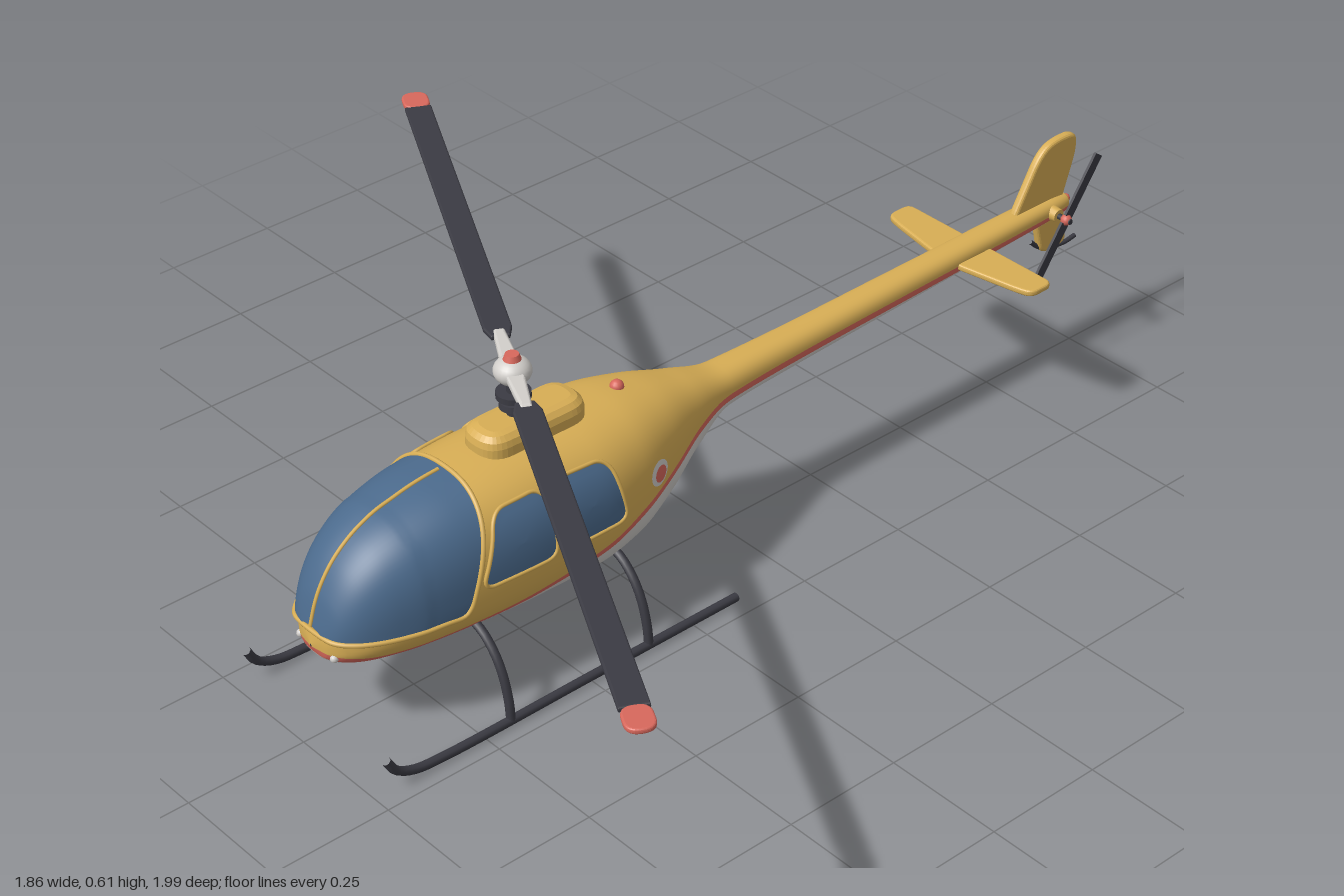
import * as THREE from 'three';

const mat = (name, color) => {
  const m = new THREE.MeshStandardMaterial({ color });
  m.name = name;
  return m;
};
const V = (x, y, z) => new THREE.Vector3(x, y, z);

// Smooth interpolation through [z, value] stations (z descending)
function smooth(pts, z) {
  const n = pts.length;
  if (z >= pts[0][0]) return pts[0][1];
  if (z <= pts[n - 1][0]) return pts[n - 1][1];
  let i = 0;
  while (z < pts[i + 1][0]) i++;
  const slope = (k) => (pts[k + 1][1] - pts[k][1]) / (pts[k + 1][0] - pts[k][0]);
  const tan = (k) => {
    if (k === 0) return slope(0);
    if (k === n - 1) return slope(n - 2);
    const a = slope(k - 1), b = slope(k);
    return a * b <= 0 ? 0 : (2 * a * b) / (a + b);
  };
  const [z0, v0] = pts[i], [z1, v1] = pts[i + 1], d = z1 - z0, t = (z - z0) / d;
  return v0 * (1 + 2 * t) * (1 - t) ** 2 + tan(i) * d * t * (1 - t) ** 2
    + v1 * t * t * (3 - 2 * t) + tan(i + 1) * d * t * t * (t - 1);
}

// Fuselage stations: z, half width, top, bottom, height of the widest line
const STATIONS = [
  [0.968, 0.002, 0.212, 0.206, 0.209], [0.96, 0.042, 0.25, 0.187, 0.212], [0.94, 0.072, 0.308, 0.176, 0.22],
  [0.9, 0.101, 0.365, 0.166, 0.235], [0.85, 0.122, 0.403, 0.159, 0.25], [0.8, 0.136, 0.424, 0.154, 0.26],
  [0.7, 0.149, 0.443, 0.146, 0.272], [0.55, 0.157, 0.45, 0.138, 0.28], [0.4, 0.156, 0.45, 0.135, 0.285],
  [0.3, 0.142, 0.446, 0.146, 0.295], [0.2, 0.11, 0.43, 0.182, 0.31], [0.1, 0.071, 0.402, 0.242, 0.325],
  [0, 0.045, 0.378, 0.293, 0.336], [-0.15, 0.039, 0.378, 0.303, 0.341], [-0.5, 0.034, 0.384, 0.321, 0.353],
  [-0.9, 0.028, 0.39, 0.342, 0.366], [-0.945, 0.023, 0.386, 0.346, 0.366], [-0.962, 0.002, 0.368, 0.364, 0.366],
];
const col = (k) => STATIONS.map((s) => [s[0], s[k]]);
const [WID, TOP, BOT, MID] = [1, 2, 3, 4].map(col);
const STRIPE = [[0.97, 0.2], [0.85, 0.188], [0.7, 0.187], [0.46, 0.213], [0.25, 0.273], [0.03, 0.327], [-0.93, 0.357]];
const N = 2.5; // roundness of the cross-section

function section(z) {
  const mid = smooth(MID, z);
  return { w: smooth(WID, z), mid, up: smooth(TOP, z) - mid, dn: mid - smooth(BOT, z) };
}
function hullPoint(z, a, off = 0) {
  const s = section(z), c = Math.cos(a), q = Math.sin(a), h = q > 0 ? s.up : s.dn;
  return V((s.w + off) * Math.sign(c) * Math.abs(c) ** (2 / N),
    s.mid + (h + off) * Math.sign(q) * Math.abs(q) ** (2 / N), z + (z > 0.8 ? off : 0));
}
function angleAt(z, y) {
  const s = section(z), r = (y - s.mid) / (y > s.mid ? s.up : s.dn);
  return Math.sign(r) * Math.asin(Math.min(1, Math.abs(r)) ** (N / 2));
}
function sideX(z, y, off) {
  return hullPoint(z, angleAt(z, y)).x + off;
}

// Geometry from rows of points; bands = [columns, material index]
function loft(rows, bands, closed) {
  const n = rows[0].length, index = [], g = new THREE.BufferGeometry();
  let j0 = 0;
  for (const [count, m] of bands) {
    const start = index.length;
    for (let i = 0; i < rows.length - 1; i++) for (let j = j0; j < j0 + count; j++) {
      const k = closed ? (j + 1) % n : j + 1, a = i * n + j, b = a + n, c = i * n + k;
      index.push(a, b, c, b, c + n, c);
    }
    g.addGroup(start, index.length - start, m);
    j0 += count;
  }
  g.setAttribute('position', new THREE.Float32BufferAttribute(rows.flat().flatMap((p) => p.toArray()), 3));
  g.setIndex(index);
  g.computeVertexNormals();
  return g;
}

// Polygon with rounded corners
function roundPoly(pts, r) {
  const p = pts.map((q) => new THREE.Vector2(...q)), n = p.length, s = new THREE.Shape();
  p.forEach((c, i) => {
    const toward = (o) => c.clone().add(o.clone().sub(c).setLength(Math.min(r, o.distanceTo(c) * 0.49)));
    const a = toward(p[(i + n - 1) % n]), b = toward(p[(i + 1) % n]);
    if (i) s.lineTo(a.x, a.y); else s.moveTo(a.x, a.y);
    s.quadraticCurveTo(c.x, c.y, b.x, b.y);
  });
  s.closePath();
  return s;
}
// Bevelled plate centred on its thickness
function plate(pts, r, thick, bevel = thick * 0.35) {
  return new THREE.ExtrudeGeometry(roundPoly(pts, r), {
    depth: thick - 2 * bevel, bevelThickness: bevel, bevelSize: bevel, bevelOffset: -bevel, bevelSegments: 3, curveSegments: 8,
  }).translate(0, 0, bevel - thick / 2);
}
const tube = (pts, r, closed = false, seg = 48) =>
  new THREE.TubeGeometry(new THREE.CatmullRomCurve3(pts, closed), seg, r, 8, closed);

export function createModel() {
  const yellow = mat('yellow paint', 0xd8ae55), grey = mat('light grey', 0xd2cfcb), red = mat('coral red', 0xd8685c);
  const glass = mat('blue glass', 0x4b6a8c), dark = mat('dark metal', 0x3b3b43);
  const root = new THREE.Group();
  const add = (name, geo, material, parent = root) => {
    const m = new THREE.Mesh(geo, material);
    m.name = name;
    parent.add(m);
    return m;
  };

  // Fuselage and boom: upper paint, stripe and belly
  const rows = [];
  STATIONS.forEach(([z], i) => {
    const next = STATIONS[i + 1], steps = next ? 7 : 1;
    for (let k = 0; k < steps; k++) {
      const zz = next ? z + ((next[0] - z) * k) / steps : z, y = smooth(STRIPE, zz);
      const hi = angleAt(zz, y + 0.007), lo = angleAt(zz, y - 0.007), row = [];
      const span = (a, b, n) => { for (let j = 0; j < n; j++) row.push(hullPoint(zz, a + ((b - a) * j) / n)); };
      span(hi, Math.PI - hi, 36);
      span(Math.PI - hi, Math.PI - lo, 2);
      span(Math.PI - lo, 2 * Math.PI + lo, 24);
      span(2 * Math.PI + lo, 2 * Math.PI + hi, 2);
      rows.push(row);
    }
  });
  add('fuselage', loft(rows, [[36, 0], [2, 1], [24, 2], [2, 1]], true), [yellow, red, grey]);

  // Windshield with its frame and centre strip
  const shield = [];
  for (let i = 0; i <= 40; i++) {
    const s = (i / 40) ** 1.7, row = [];
    for (let j = 0; j <= 40; j++) {
      const u = j / 40, rear = 0.735 - 0.08 * Math.sin(Math.PI * u) ** 0.7, z = 0.961 + (rear - 0.961) * s;
      const a = angleAt(z, 0.238);
      row.push(hullPoint(z, a + (Math.PI - 2 * a) * u, 0.004));
    }
    shield.push(row);
  }
  add('windshield', loft(shield, [[40, 0]], false), [glass]);
  const lower = shield.filter((r, i) => i % 4 === 0 && i > 0);
  add('windshieldFrame', tube([...lower.map((r) => r[0]).reverse(), ...lower.map((r) => r[40]),
    ...shield[40].slice(1, 40).reverse().filter((p, j) => j % 2 === 0)], 0.005, true, 160), yellow);
  add('windshieldStrip', tube(shield.filter((r, i) => i % 3 === 0).map((r) => r[20]), 0.004), yellow);

  // Patches lying on the side skin, outlined in (z, y)
  const sidePatch = (shape, side, off) => {
    const pts = shape.getSpacedPoints(48).slice(0, 48), c = new THREE.Vector2();
    if (THREE.ShapeUtils.isClockWise(pts)) pts.reverse();
    pts.forEach((p) => c.addScaledVector(p, 1 / 48));
    const ring = (k) => pts.map((p) => {
      const q = c.clone().lerp(p, k);
      return V(side * sideX(q.x, q.y, off), q.y, q.x);
    });
    const rings = [0.001, 0.2, 0.4, 0.6, 0.8, 1].map(ring);
    if (side < 0) rings.reverse();
    return { geo: loft(rings.reverse(), [[48, 0]], true), edge: ring(1) };
  };
  const windows = {
    frontWindow: [[0.698, 0.278], [0.645, 0.408], [0.533, 0.412], [0.528, 0.278]],
    rearWindow: [[0.508, 0.278], [0.506, 0.412], [0.385, 0.408], [0.358, 0.278]],
  };
  for (const side of [1, -1]) {
    for (const [name, pts] of Object.entries(windows)) {
      const { geo, edge } = sidePatch(roundPoly(pts, 0.03), side, 0.004);
      add(name, geo, [glass]);
      add(name + 'Trim', tube(edge, 0.004, true, 96), yellow);
    }
    const disc = (r) => new THREE.Shape().absarc(0.262, 0.32, r, 0, Math.PI * 2);
    add('roundelRing', sidePatch(disc(0.026), side, 0.003).geo, [grey]);
    add('roundelCentre', sidePatch(disc(0.017), side, 0.006).geo, [red]);
    add('noseLamp', new THREE.SphereGeometry(0.008, 12, 8), grey).position.set(side * 0.05, 0.2, 0.954);
  }
  add('beacon', new THREE.SphereGeometry(0.014, 16, 10), red).position.set(0, 0.44, 0.25);
  add('tailLamp', new THREE.SphereGeometry(0.009, 12, 8), red).position.set(0, 0.366, -0.96);

  // Roof fairing
  add('roofFairing', plate([[-0.052, 0.348], [0.052, 0.348], [0.052, 0.588], [-0.052, 0.588]], 0.05, 0.09, 0.025)
    .rotateX(Math.PI / 2), yellow).position.y = 0.445;

  // Main rotor
  const rotor = new THREE.Group();
  rotor.name = 'mainRotor';
  rotor.position.set(0, 0.583, 0.492);
  rotor.rotation.y = -0.488;
  root.add(rotor);
  const cyl = (name, r0, r1, h, y, m) => { add(name, new THREE.CylinderGeometry(r0, r1, h, 24), m, rotor).position.y = y; };
  cyl('mast', 0.012, 0.014, 0.12, -0.05, dark);
  cyl('swashPlate', 0.033, 0.033, 0.012, -0.05, dark);
  cyl('swashPlateLower', 0.026, 0.028, 0.012, -0.071, dark);
  add('hub', new THREE.SphereGeometry(0.036, 24, 16).scale(1, 0.75, 1), grey, rotor);
  cyl('hubCap', 0.013, 0.018, 0.014, 0.028, red);
  for (const turn of [0, Math.PI]) {
    const arm = new THREE.Group();
    arm.name = 'rotorBlade';
    arm.rotation.y = turn;
    rotor.add(arm);
    const flat = (g) => g.rotateX(-Math.PI / 2);
    add('bladeGrip', flat(plate([[0.02, -0.018], [0.13, -0.011], [0.13, 0.011], [0.02, 0.018]], 0.004, 0.018)), grey, arm);
    add('blade', flat(plate([[0.11, -0.018], [0.14, -0.027], [0.985, -0.027], [0.985, 0.027], [0.14, 0.027], [0.11, 0.018]], 0.002, 0.011)), dark, arm);
    add('bladeTip', flat(plate([[0.98, -0.027], [1.045, -0.027], [1.045, 0.027], [0.98, 0.027]], 0.026, 0.011)), red, arm);
  }

  // Tail surfaces
  const upright = (pts, r, t) => plate(pts, r, t).rotateY(-Math.PI / 2);
  add('upperFin', upright([[-0.79, 0.37], [-0.865, 0.5], [-0.9, 0.523], [-0.972, 0.523], [-0.976, 0.48], [-0.935, 0.36]], 0.03, 0.02), yellow);
  add('lowerFin', upright([[-0.86, 0.37], [-0.885, 0.265], [-0.925, 0.26], [-0.962, 0.268], [-0.94, 0.37]], 0.02, 0.018), yellow);
  add('stabilizer', plate([[-0.203, -0.71], [0.203, -0.71], [0.203, -0.65], [0.17, -0.64], [0.03, -0.615], [-0.03, -0.615], [-0.17, -0.64], [-0.203, -0.65]], 0.02, 0.014)
    .rotateX(Math.PI / 2), yellow).position.y = 0.354;
  add('tailSkid', tube([V(0, 0.3, -0.86), V(0, 0.275, -0.89), V(0, 0.262, -0.93), V(0, 0.258, -0.965), V(0, 0.262, -0.995)], 0.005), dark);

  // Tail rotor
  const tail = new THREE.Group();
  tail.name = 'tailRotor';
  tail.position.set(0.062, 0.366, -0.896);
  tail.rotation.x = 0.61;
  root.add(tail);
  add('tailShaft', new THREE.CylinderGeometry(0.006, 0.006, 0.07, 12).rotateZ(Math.PI / 2), dark, tail).position.x = -0.022;
  add('tailGearbox', new THREE.CylinderGeometry(0.014, 0.018, 0.03, 16).rotateZ(-Math.PI / 2), yellow, tail).position.x = -0.035;
  add('tailHub', new THREE.SphereGeometry(0.012, 16, 10), red, tail);
  tail.rotation.x = -Math.atan2(0.17, 0.245);
  for (const s of [1, -1])
    add('tailBlade', new THREE.BoxGeometry(0.006, 0.14, 0.022), dark, tail).position.y = s * 0.078;

  // Landing skids
  for (const s of [1, -1])
    add('skid', tube([V(s * 0.21, 0.015, 0.14), V(s * 0.21, 0.015, 0.5), V(s * 0.21, 0.015, 0.84), V(s * 0.21, 0.022, 0.91),
      V(s * 0.21, 0.042, 0.95), V(s * 0.21, 0.074, 0.97)], 0.009, false, 60), dark);
  const half = [[0.21, 0.015], [0.206, 0.055], [0.19, 0.11], [0.165, 0.15], [0.125, 0.18]];
  for (const z of [0.69, 0.36])
    add('skidStrut', tube([...half.map(([x, y]) => V(-x, y, z)), V(0, 0.19, z), ...half.map(([x, y]) => V(x, y, z)).reverse()], 0.009), dark);

  return root;
}
